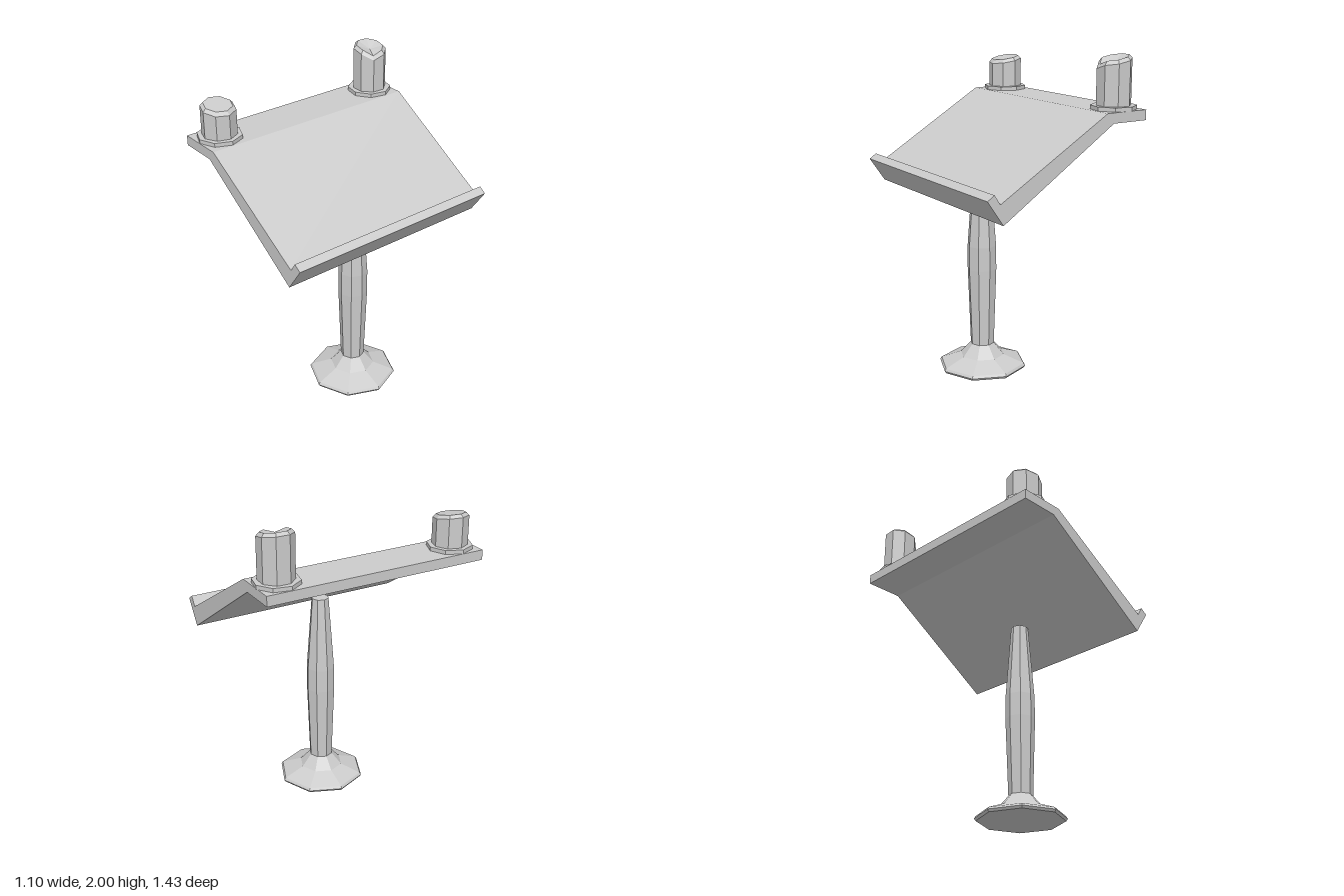
import * as THREE from 'three';

const material = new THREE.MeshStandardMaterial({ color: 0xcccccc, flatShading: true });

// Eight-sided turned part from [radius, height] pairs, listed bottom to top
function turned(name, profile, x, z, turn = 0) {
  const points = profile.map(([r, y]) => new THREE.Vector2(r, y));
  const geometry = new THREE.LatheGeometry(points, 8, turn);
  const mesh = new THREE.Mesh(geometry, material);
  mesh.name = name;
  mesh.position.set(x, 0, z);
  return mesh;
}

// Shift the vertices above a height by a rule of their x and z
function reshapeTop(mesh, above, rule) {
  const p = mesh.geometry.attributes.position;
  for (let i = 0; i < p.count; i++) {
    if (p.getY(i) > above) p.setY(i, p.getY(i) + rule(p.getX(i), p.getZ(i)));
  }
  mesh.geometry.computeVertexNormals();
}

export function createModel() {
  const group = new THREE.Group();
  group.name = 'lectern';

  // Pedestal with flared foot and slightly swollen column
  group.add(turned('pedestal', [
    [0, 0], [0.27, 0], [0.28, 0.015], [0.27, 0.03], [0.14, 0.08], [0.075, 0.155],
    [0.092, 0.65], [0.091, 0.8], [0.055, 1.28], [0, 1.28],
  ], 0.14, 0));

  // Sloping book rest with flat shelf and lip, one bent profile
  const outline = [
    [-0.55, 1.62], [-0.31, 1.62], [0.447, 1.125], [0.55, 1.275],
    [0.505, 1.305], [0.467, 1.247], [-0.264, 1.682], [-0.55, 1.682],
  ].map(([x, y]) => new THREE.Vector2(x, y));
  const restGeometry = new THREE.ExtrudeGeometry(new THREE.Shape(outline), { depth: 1.42, bevelEnabled: false });
  restGeometry.translate(0, 0, -0.71);
  const rest = new THREE.Mesh(restGeometry, material);
  rest.name = 'bookRest';
  group.add(rest);

  // Drip plates under the candles
  const plate = [[0, 1.68], [0.138, 1.68], [0.138, 1.706], [0, 1.706]];
  group.add(turned('frontDripPlate', plate, -0.41, 0.57));
  group.add(turned('backDripPlate', plate, -0.41, -0.58, 0.18));

  // Short candle with a slanted, bevelled top
  const short = turned('frontCandle', [
    [0.107, 1.7], [0.107, 1.873], [0.088, 1.893], [0, 1.893],
  ], -0.41, 0.57, 0.08);
  reshapeTop(short, 1.8, (x) => -0.17 * x);
  group.add(short);

  // Tall candle with a hollowed top, the rim melted away on one side
  const tall = turned('backCandle', [
    [0.106, 1.7], [0.106, 1.962], [0.087, 1.983], [0, 1.957],
  ], -0.41, -0.58, 0.35);
  reshapeTop(tall, 1.8, (x, z) => {
    const melted = x > 0.06 && z > 0.02 ? -0.025 : 0;
    return -0.19 * x + melted;
  });
  group.add(tall);

  return group;
}
